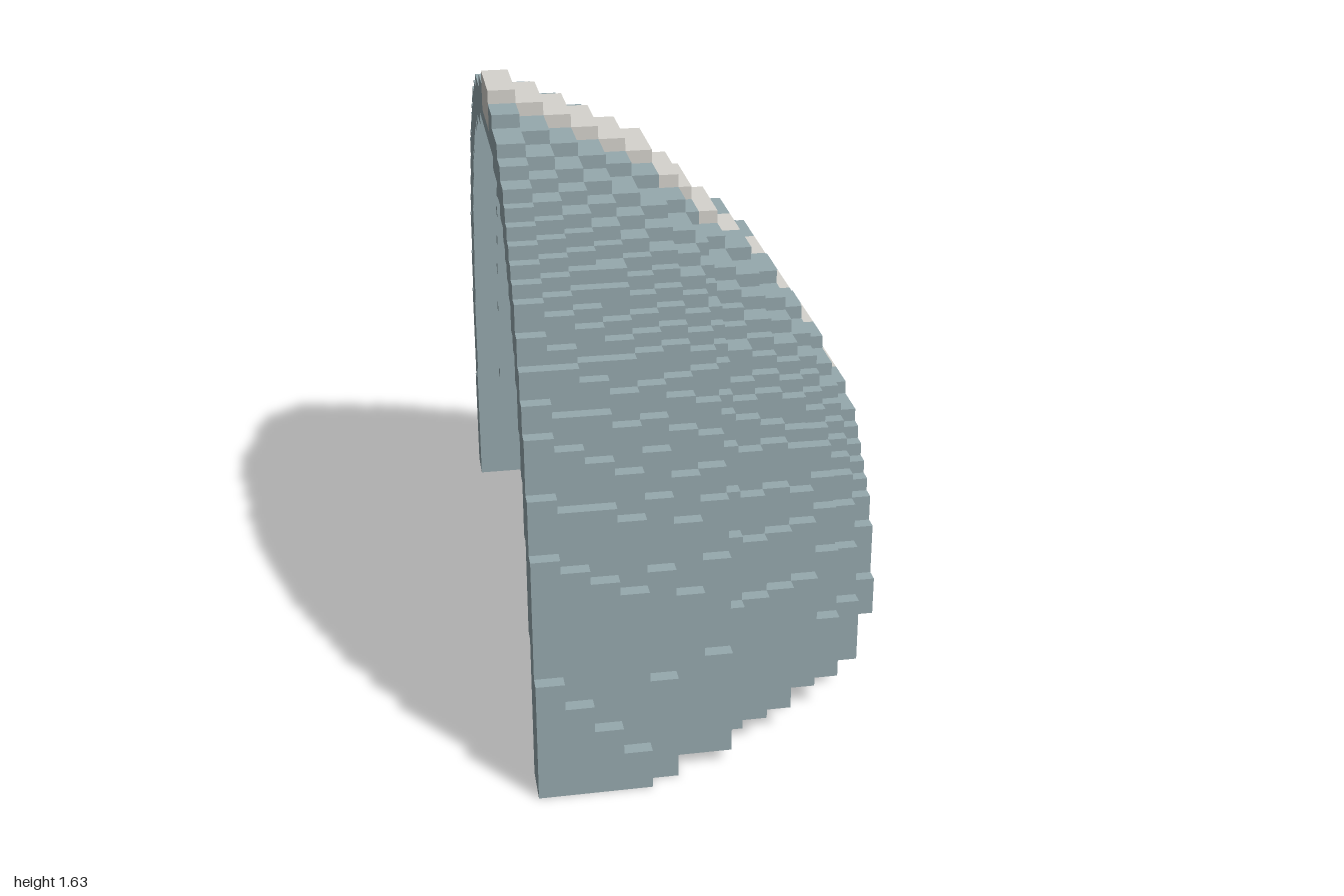
import * as THREE from 'three';

const U = 1 / 27; // size of one grid cell
const grey = new THREE.MeshStandardMaterial({ name: 'blueGrey', color: 0x96a9ae });
const pale = new THREE.MeshStandardMaterial({ name: 'paleStone', color: 0xd6d4ce });

// One entry per arch rib, back to front, in cells:
// width along x, outer half width and height, inner half width and height, floor
const RIBS = [
  [2, 26.7, 43, 23.9, 40, 0], [2, 26.62, 42, 23.8, 39, 0], [2, 26.55, 41, 23.7, 38, 0],
  [2, 26.52, 40, 23.4, 37, 0], [2, 25.7, 39, 22.9, 36, 0], [2, 25.3, 38, 22.4, 34, 1],
  [2, 24.8, 36, 21.8, 33, 1], [1, 24.2, 35, 20.9, 31, 2], [2, 23.2, 33, 19.9, 30, 2],
  [2, 22.3, 32, 18.9, 28, 2], [2, 21.3, 30, 17.5, 25, 3], [2, 19.9, 27, 15.4, 22, 3],
  [2, 17.9, 24, 12.4, 18, 3], [2, 15.2, 20, 8.8, 12.6, 5],
];

// Stepped superellipse arch: height of column j
function archHeight(j, halfWidth, height) {
  const t = (j + 0.5) / halfWidth;
  return t >= 1 ? 0 : Math.round(height * Math.pow(1 - Math.pow(t, 2.5), 0.4));
}

// The lower edge rises in steps toward the middle
function floorAt(j) {
  return [23, 22, 19, 15, 12].filter((edge) => j < edge).length;
}

// Extrude a side outline (z, y in cells) along x
function slab(points, x, width, material, name) {
  const shape = new THREE.Shape(points.map(([z, y]) => new THREE.Vector2(z * U, y * U)));
  const geo = new THREE.ExtrudeGeometry(shape, { depth: width * U, bevelEnabled: false });
  geo.rotateY(Math.PI / 2);
  geo.translate(x * U, 0, 0);
  const mesh = new THREE.Mesh(geo, material);
  mesh.name = name;
  return mesh;
}

// Rectangle centred on z = 0
const band = (half, y0, y1) => [[-half, y0], [half, y0], [half, y1], [-half, y1]];

// Stepped outline around neighbouring columns, each { z0, z1, lo, hi }
function outline(columns) {
  const upper = [], lower = [];
  columns.forEach((c, i) => {
    const p = columns[i - 1];
    if (!p || p.hi !== c.hi) {
      if (p) upper.push([c.z0, p.hi]);
      upper.push([c.z0, c.hi]);
    }
    if (!p || p.lo !== c.lo) {
      if (p) lower.push([c.z0, p.lo]);
      lower.push([c.z0, c.lo]);
    }
  });
  const last = columns[columns.length - 1];
  upper.push([last.z1, last.hi]);
  lower.push([last.z1, last.lo]);
  return upper.concat(lower.reverse());
}

export function createModel() {
  const model = new THREE.Group();
  model.name = 'steppedArchShell';
  let x = -13.5;

  RIBS.forEach(([width, outerWidth, height, innerWidth, innerHeight, floor], i) => {
    const rib = new THREE.Group();
    rib.name = `archRib${i + 1}`;
    const front = i === RIBS.length - 1;
    const raised = i < 9;
    const stripe = i < 8 ? 3 : front ? 1 : 2;

    // Columns from the middle outward
    const columns = [];
    for (let j = 0; j < 27; j++) {
      let hi = archHeight(j, outerWidth, height);
      const lo = Math.max(floor, floorAt(j), archHeight(j, innerWidth, innerHeight));
      if (front && j === 1) hi -= 1; // room for the wider stripe cap
      if (hi <= lo) break;
      columns.push({ z0: j, z1: j + 1, lo, hi });
    }

    // Mirrored grey sides
    for (const side of [1, -1]) {
      const points = outline(columns.slice(stripe)).map(([z, y]) => [z * side, y]);
      rib.add(slab(points, x, width, grey, side > 0 ? 'rightSide' : 'leftSide'));
    }

    // Pale centre stripe over a grey lining
    const lo = columns[0].lo;
    const top = front ? height - 1 : height;
    const plate = front ? 0.2 : 0;
    rib.add(slab(band(stripe, lo + 1, top), x, width, pale, 'centreStripe'));
    rib.add(slab(band(stripe, lo, lo + 1), x, width - plate, grey, 'stripeLining'));
    if (front) {
      rib.add(slab(band(stripe, lo, lo + 1), x + width - plate, plate, pale, 'stripeFoot'));
    }

    // Raised ridge cap, or the wider cap on the frontmost rib
    if (raised || front) {
      rib.add(slab(band(raised ? 3 : 2, top, top + 1), x, width, pale, 'stripeCap'));
    }
    model.add(rib);
    x += width;
  });
  return model;
}
